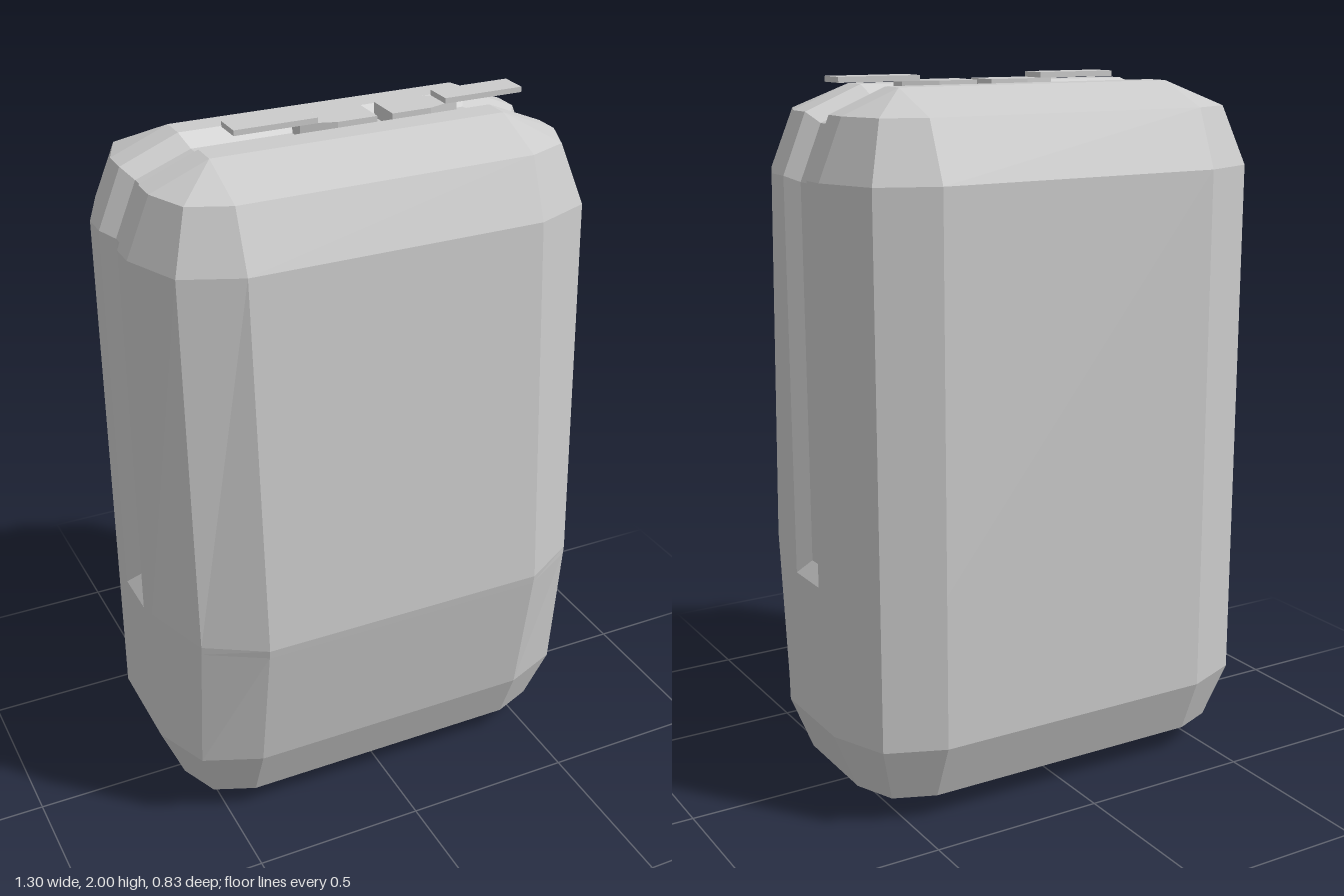
import * as THREE from 'three';

const material = new THREE.MeshStandardMaterial({ color: 0xcccccc, flatShading: true });
const grooveFront = 0.035, grooveBack = -0.11;

// Collects polygons (corners counter-clockwise from outside) into a flat-shaded mesh
function polygonMesh(name, build) {
  const positions = [];
  const tri = (a, b, c) => {
    const [A, B, C] = [a, b, c].map((p) => new THREE.Vector3(...p));
    if (B.sub(A).cross(C.sub(A)).length() > 1e-8) positions.push(...a, ...b, ...c);
  };
  const quad = (a, b, c, d) => { tri(a, b, d); tri(b, c, d); };
  const fan = (pts) => { for (let i = 1; i < pts.length - 1; i++) tri(pts[0], pts[i], pts[i + 1]); };
  build(quad, fan);
  const geometry = new THREE.BufferGeometry();
  geometry.setAttribute('position', new THREE.Float32BufferAttribute(positions, 3));
  geometry.computeVertexNormals();
  const mesh = new THREE.Mesh(geometry, material);
  mesh.name = name;
  return mesh;
}

// Horizontal outline with two-segment round corners; bulge pushes the front out
function ring(y, r, bulge) {
  const d = r * Math.SQRT1_2, side = 0.42 + r;
  const zf = 0.11, zb = -0.185;
  return [
    [side, grooveBack], [side, grooveFront],
    [side, zf], [0.42 + d, zf + d + 0.045 * bulge], [0.42, zf + r + 0.075 * bulge],
    [-0.42, zf + r + 0.075 * bulge], [-0.42 - d, zf + d + 0.045 * bulge], [-side, zf],
    [-side, grooveFront], [-side, grooveBack],
    [-side, zb], [-0.42 - d, zb - d], [-0.42, zb - r],
    [0.42, zb - r], [0.42 + d, zb - d], [side, zb],
  ].map(([x, z]) => [x, y, z]);
}

function makeBody() {
  // height, corner radius, front bulge
  const rings = [
    [0, 0, 0], [0.07, 0.163, 0], [0.235, 0.23, 0], [0.645, 0.23, 0.943], [0.67, 0.23, 1],
    [1.745, 0.23, 0], [1.908, 0.163, 0], [1.975, 0, 0],
  ].map((level) => ring(...level));
  return polygonMesh('body', (quad, fan) => {
    for (let k = 0; k < rings.length - 1; k++) {
      const a = rings[k], b = rings[k + 1];
      for (let i = 0; i < 16; i++) {
        if (k >= 3 && (i === 0 || i === 8)) continue; // open slot for the groove
        const j = (i + 1) % 16;
        quad(a[i], b[i], b[j], a[j]);
      }
    }
    const top = rings[rings.length - 1];
    fan(rings[0]);
    fan(top.slice(1, 9).reverse());
    fan([...top.slice(9), top[0]].reverse());
  });
}

// Groove with slanted walls running up one side, over the top and down the other
function makeGroove() {
  const mirror = (half) => [...half, ...half.map(([x, y]) => [-x, y]).reverse()];
  const rim = mirror([[0.65, 0.645], [0.65, 1.745], [0.583, 1.908], [0.42, 1.975]]);
  const floor = mirror([[0.617, 0.685], [0.617, 1.73], [0.555, 1.88], [0.4, 1.94]]);
  const rows = rim.map((p, i) => [
    [...p, grooveFront], [...floor[i], 0], [...floor[i], -0.073], [...p, grooveBack],
  ]);
  return polygonMesh('zipperGroove', (quad) => {
    for (let i = 0; i < rows.length - 1; i++) {
      for (let j = 0; j < 3; j++) {
        quad(rows[i][j + 1], rows[i + 1][j + 1], rows[i + 1][j], rows[i][j]);
      }
    }
    const first = rows[0], last = rows[rows.length - 1];
    quad(first[3], first[2], first[1], first[0]);
    quad(...last);
  });
}

// Slider with a tapered end and a flat pull tab lying on it
function makeZipper(name, startX, dir) {
  const group = new THREE.Group();
  group.name = name;
  const outline = [[0, -0.055], [0.115, -0.055], [0.21, -0.025], [0.21, 0.025], [0.115, 0.055], [0, 0.055]];
  const shape = new THREE.Shape(outline.map(([x, z]) => new THREE.Vector2(x * dir, z)));
  const sliderGeometry = new THREE.ExtrudeGeometry(shape, { depth: 0.04, bevelEnabled: false });
  sliderGeometry.rotateX(-Math.PI / 2);
  const slider = new THREE.Mesh(sliderGeometry, material);
  slider.name = 'slider';
  slider.position.y = 1.945;
  const tab = new THREE.Mesh(new THREE.BoxGeometry(0.237, 0.015, 0.083), material);
  tab.name = 'pullTab';
  tab.position.set(dir * 0.284, 1.9925, 0);
  group.add(slider, tab);
  group.position.set(startX, 0, -0.035);
  return group;
}

export function createModel() {
  const model = new THREE.Group();
  model.name = 'luggageBag';
  model.add(
    makeBody(),
    makeGroove(),
    makeZipper('rightZipper', 0.09, -1),
    makeZipper('leftZipper', 0.135, 1),
  );
  return model;
}
